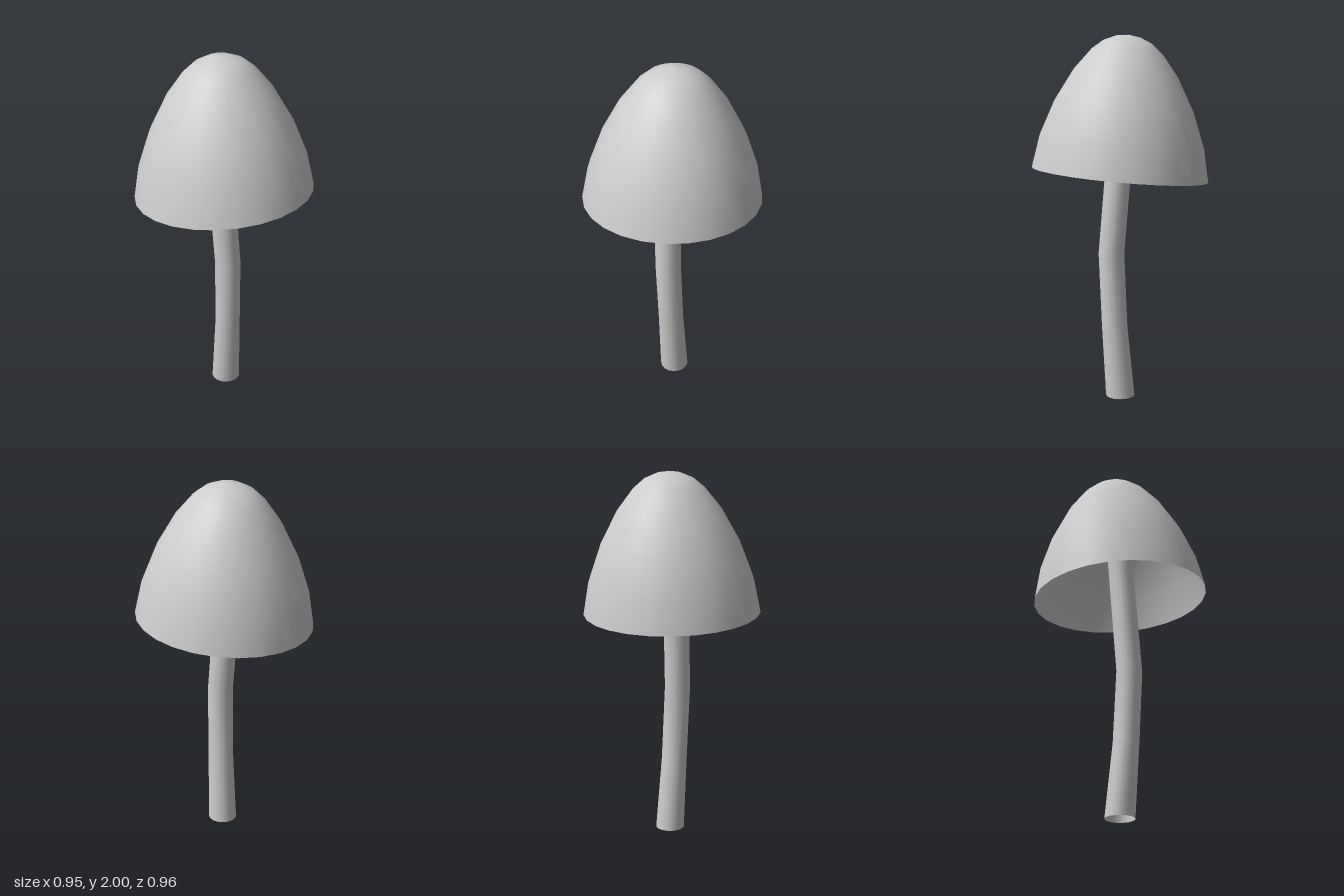
import * as THREE from 'three';
import { mergeVertices } from 'three/addons/utils/BufferGeometryUtils.js';

const material = new THREE.MeshStandardMaterial({ color: 0xcccccc, side: THREE.DoubleSide });

function namedMesh(name, geometry) {
  const mesh = new THREE.Mesh(geometry, material);
  mesh.name = name;
  return mesh;
}

// Thin hollow bell, tilted by slanting its rim and leaning its axis
function createCap() {
  const profile = [
    [0.48, 0], [0.445, 0.18], [0.375, 0.37], [0.28, 0.545],
    [0.19, 0.66], [0.13, 0.71], [0.065, 0.738], [0, 0.747],
  ].map(([r, h]) => new THREE.Vector2(r, h));
  const geometry = new THREE.LatheGeometry(profile, 26);
  geometry.applyMatrix4(new THREE.Matrix4().set(
    1, -0.03, 0, 0,
    0.067, 1, 0.067, 1.25,
    0, -0.05, 1, 0,
    0, 0, 0, 1,
  ));
  return namedMesh('cap', geometry);
}

// Open bent tube: each ring is moved to its own centre and radius
function createStem() {
  const rings = [ // x, y, z, radius
    [0.012, 0, -0.005, 0.08],
    [0.017, 0.4, 0.027, 0.071],
    [0.015, 0.81, 0.047, 0.071],
    [-0.038, 1.65, -0.005, 0.071],
  ];
  const last = rings.length - 1;
  let geometry = new THREE.CylinderGeometry(1, 1, last, 16, last, true);
  const position = geometry.attributes.position;
  for (let i = 0; i < position.count; i++) {
    const [x, y, z, r] = rings[Math.round(position.getY(i) + last / 2)];
    position.setXYZ(i, x + r * position.getX(i), y, z + r * position.getZ(i));
  }
  geometry.deleteAttribute('uv');
  geometry.deleteAttribute('normal');
  geometry = mergeVertices(geometry);
  geometry.computeVertexNormals();
  return namedMesh('stem', geometry);
}

export function createModel() {
  const group = new THREE.Group();
  group.name = 'mushroom';
  group.add(createCap(), createStem());
  return group;
}
